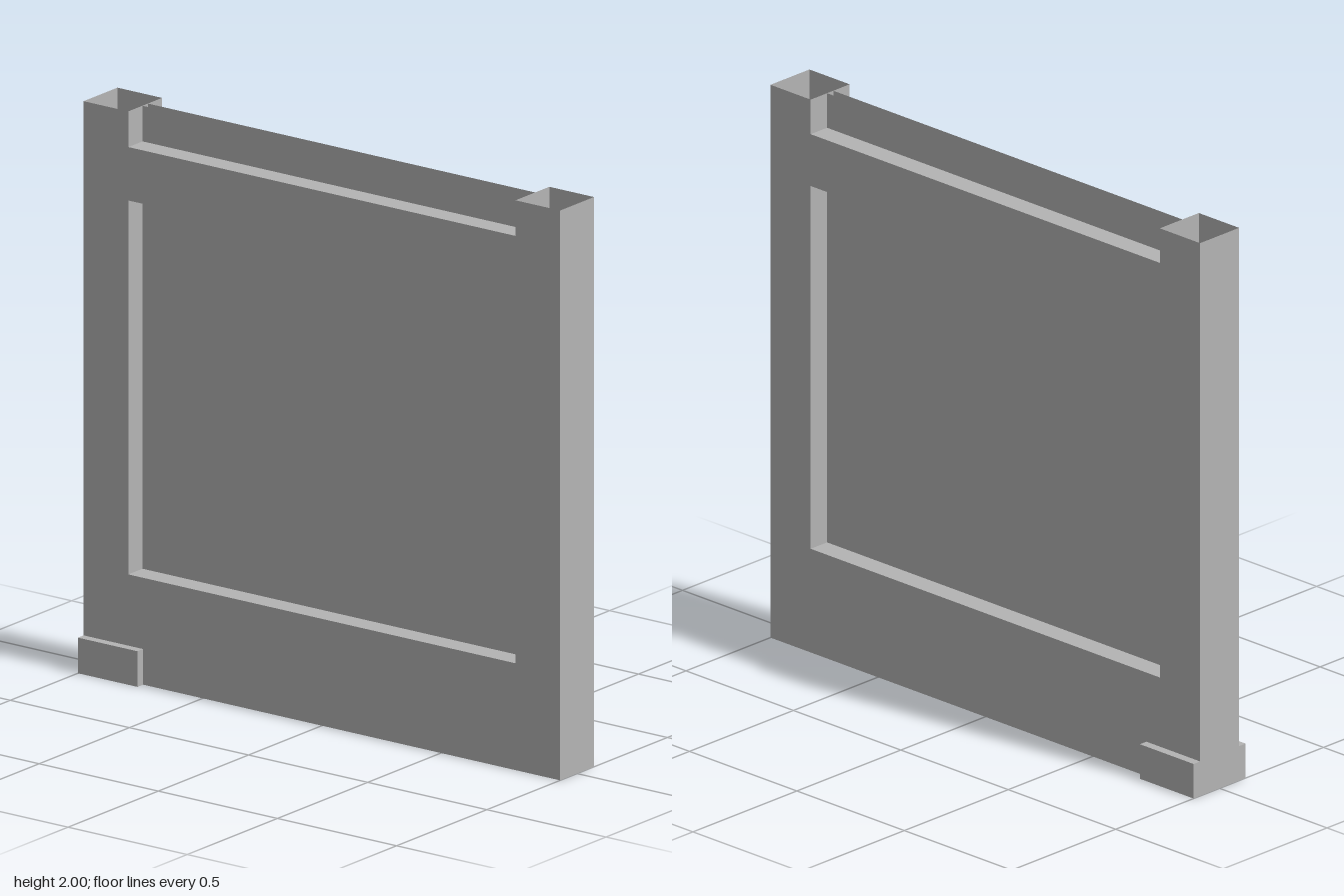
import * as THREE from 'three';

// Box spanning two corners, with only the listed faces kept
// (face order: 0 +x, 1 -x, 2 +y, 3 -y, 4 +z, 5 -z)
function shell(name, material, [x0, x1], [y0, y1], depth, faces) {
  const geo = new THREE.BoxGeometry(x1 - x0, y1 - y0, depth);
  const all = Array.from(geo.index.array);
  geo.setIndex(faces.flatMap((f) => all.slice(f * 6, f * 6 + 6)));
  geo.clearGroups();
  geo.translate((x0 + x1) / 2, (y0 + y1) / 2, 0);
  const mesh = new THREE.Mesh(geo, material);
  mesh.name = name;
  return mesh;
}

export function createModel() {
  const group = new THREE.Group();
  group.name = 'framedPanel';
  const grey = new THREE.MeshStandardMaterial({ color: 0xb4b4b4, side: THREE.DoubleSide });
  grey.name = 'grey';

  const inner = 0.8125;   // inner edge of the posts
  const thick = 0.1875;   // frame depth
  const thin = 0.03;      // panel depth
  const span = [-inner, inner];
  const add = (...args) => group.add(shell(args[0], grey, ...args.slice(1)));

  // Hollow side posts, open at the top
  add('leftPost', [inner, 1], [0, 2], thick, [0, 1, 3, 4, 5]);
  add('rightPost', [-1, -inner], [0, 2], thick, [0, 1, 3, 4, 5]);

  // Cross rails between the posts
  add('bottomRail', span, [0, 0.375], thick, [2, 3, 4, 5]);
  add('topRail', span, [1.6875, 1.875], thick, [2, 3, 4, 5]);

  // Recessed centre panel and the thin open strip above the top rail
  add('centrePanel', span, [0.375, 1.6875], thin, [4, 5]);
  add('topStrip', span, [1.875, 2], thin, [4, 5]);

  // Block clasping the lower corner, open underneath
  add('cornerBlock', [-1, -0.75], [0, 0.125], 0.25, [0, 1, 2, 4, 5]);

  return group;
}
